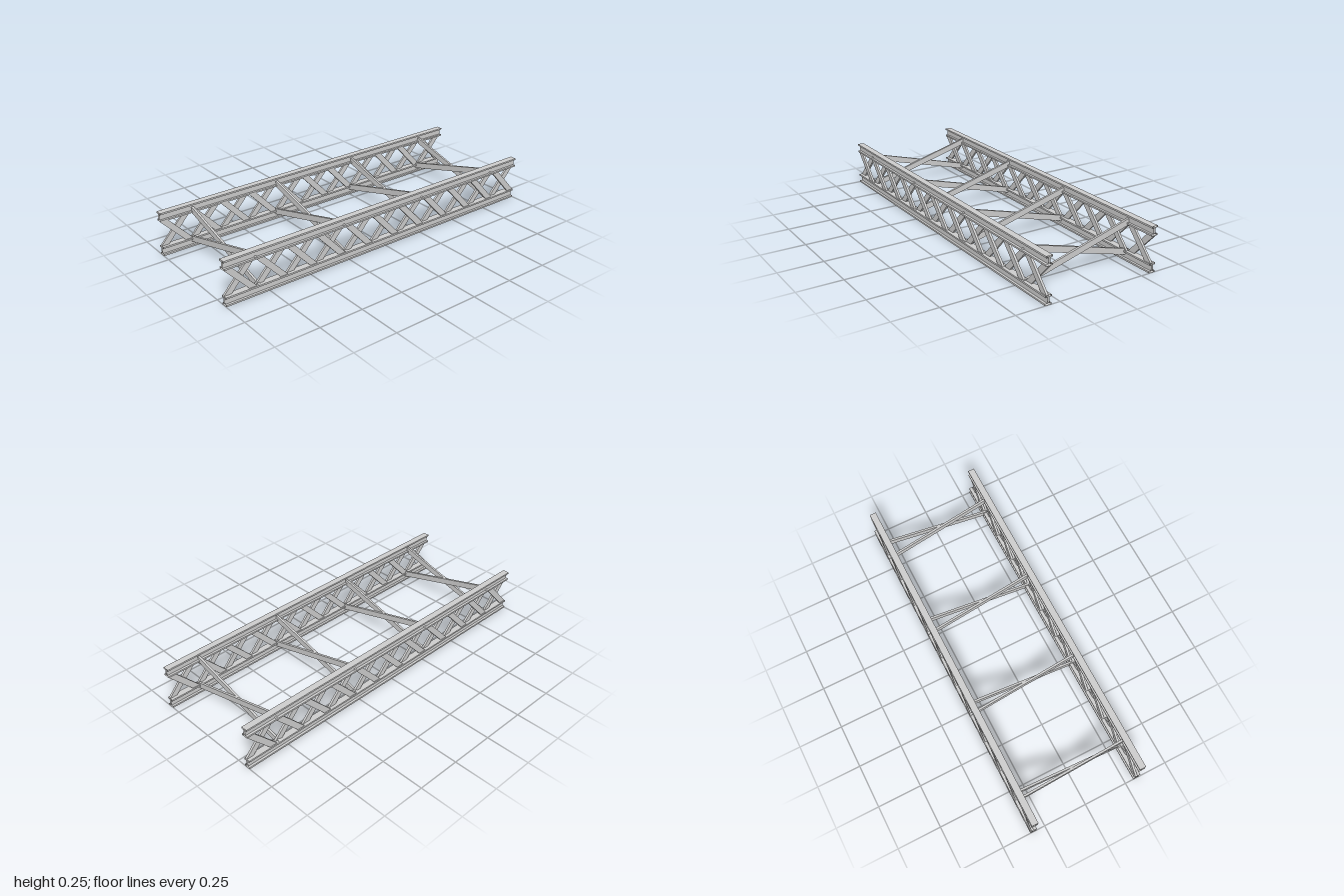
import * as THREE from 'three';

const grey = new THREE.MeshStandardMaterial({ color: 0xcccccc, flatShading: true });
const greyOpen = new THREE.MeshStandardMaterial({ color: 0xcccccc, flatShading: true, side: THREE.DoubleSide });

const RAIL_X = 0.3175, HALF_W = 0.0185;   // rail centre and half flange width
const CHORD_H = 0.051, HEIGHT = 0.25, LENGTH = 2;
const BAYS = 11, BAR = 0.0125;

function polygon(points) {
  return new THREE.Shape(points.map(([x, y]) => new THREE.Vector2(x, y)));
}

function extrude(points, depth) {
  return new THREE.ExtrudeGeometry(polygon(points), { depth, bevelEnabled: false });
}

// Open-ended I-section running along z
function chordGeometry() {
  const w = HALF_W, t = 0.005, f = 0.009, h = CHORD_H;
  const half = [[w, 0], [w, f], [t, f], [t, h - f], [w, h - f], [w, h]];
  const profile = [...half, ...half.map(([x, y]) => [-x, y]).reverse()];
  const pos = [], n = profile.length, z = LENGTH / 2;
  profile.forEach(([ax, ay], i) => {
    const [bx, by] = profile[(i + 1) % n];
    pos.push(ax, ay, z, ax, ay, -z, bx, by, -z, ax, ay, z, bx, by, -z, bx, by, z);
  });
  const g = new THREE.BufferGeometry();
  g.setAttribute('position', new THREE.Float32BufferAttribute(pos, 3));
  g.computeVertexNormals();
  return g;
}

// Diagonal bar in the z-y plane with ends cut level; lean = +1 tops out towards +z
function diagonalGeometry(lean) {
  const half = LENGTH / BAYS / 2, cut = 0.045;
  const pts = [[-half, CHORD_H], [-half + cut, CHORD_H], [half, HEIGHT - CHORD_H], [half - cut, HEIGHT - CHORD_H]];
  const g = extrude(pts.map(([z, y]) => [z * lean, y]), BAR);
  g.rotateY(-Math.PI / 2);                       // shape x becomes z, depth runs to -x
  g.translate(lean > 0 ? BAR : 0, 0, 0);
  return g;
}

// Flat bar crossing between the rails with slanted ends; rise = +1 climbs towards +x
function braceGeometry(rise) {
  const pts = [[-0.31, 0.025], [0.335, 0.2], [0.31, 0.229], [-0.335, 0.052]];
  const g = extrude(pts.map(([x, y]) => [x * rise, y]), BAR);
  g.translate(0, 0, rise > 0 ? 0 : -BAR);
  return g;
}

export function createModel() {
  const model = new THREE.Group();
  model.name = 'trussFrame';
  const add = (parent, geometry, material, name, x, y, z) => {
    const mesh = new THREE.Mesh(geometry, material);
    mesh.name = name;
    mesh.position.set(x, y, z);
    parent.add(mesh);
  };

  const chord = chordGeometry();
  const forward = diagonalGeometry(1), backward = diagonalGeometry(-1);

  // Two side trusses: a pair of chords with crossed lattice bars
  for (const [side, name] of [[1, 'leftTruss'], [-1, 'rightTruss']]) {
    const truss = new THREE.Group();
    truss.name = name;
    truss.position.x = side * RAIL_X;
    add(truss, chord, greyOpen, 'lowerChord', 0, 0, 0);
    add(truss, chord, greyOpen, 'upperChord', 0, HEIGHT - CHORD_H, 0);
    for (let i = 0; i < BAYS; i++) {
      const z = (i + 0.5) * LENGTH / BAYS - LENGTH / 2;
      add(truss, forward, grey, 'forwardDiagonal', 0, 0, z);
      add(truss, backward, grey, 'backwardDiagonal', 0, 0, z);
    }
    model.add(truss);
  }

  // Crossed braces tying the trusses together
  const rising = braceGeometry(1), falling = braceGeometry(-1);
  for (let i = 0; i < 4; i++) {
    const brace = new THREE.Group();
    brace.name = 'crossBrace';
    brace.position.z = 0.003 + (i - 1.5) * 0.539;
    add(brace, rising, grey, 'risingBrace', 0, 0, 0);
    add(brace, falling, grey, 'fallingBrace', 0, 0, 0);
    model.add(brace);
  }
  return model;
}
